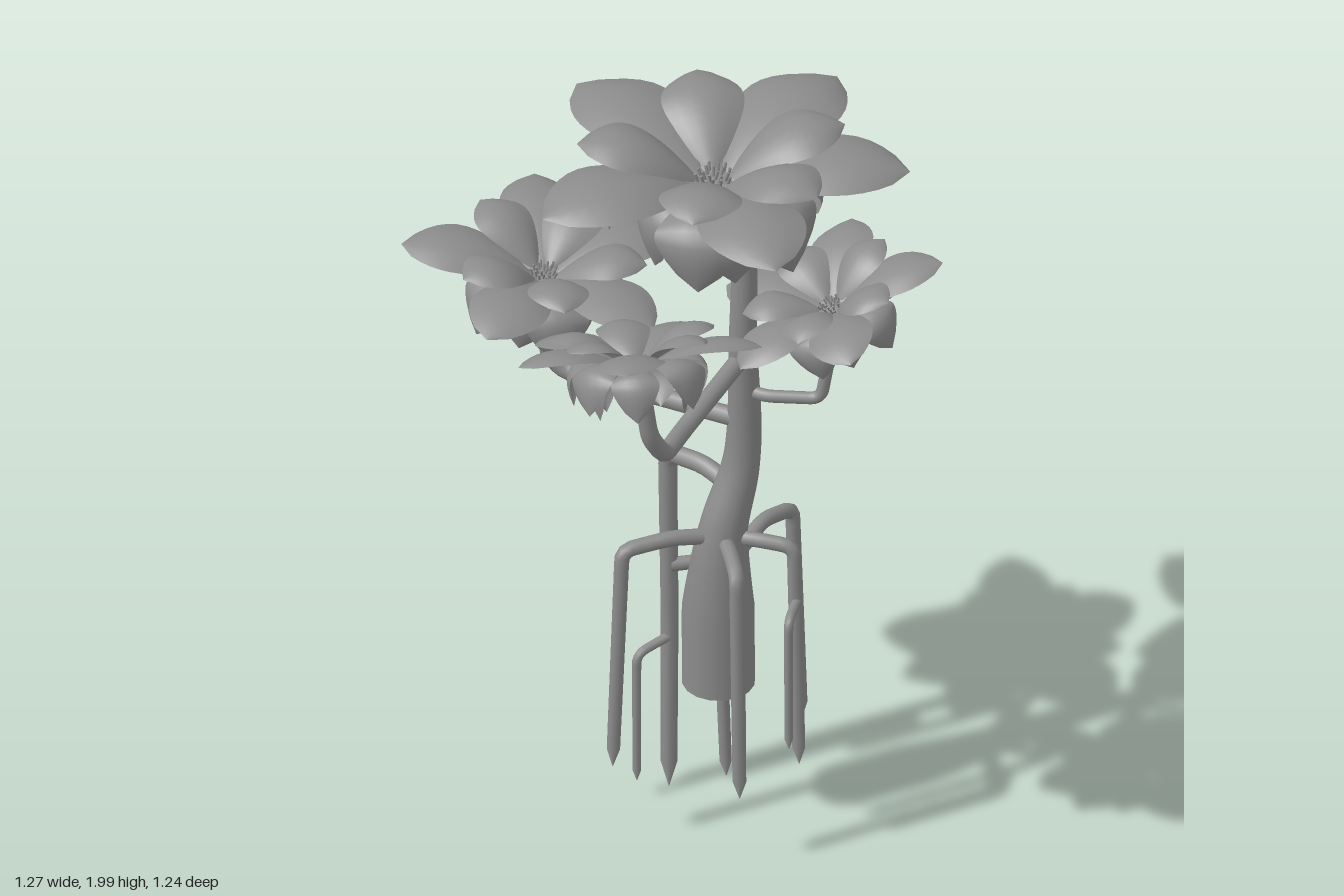
import * as THREE from 'three';

const solid = new THREE.MeshStandardMaterial({ color: 0x8c8c8c });
const thin = new THREE.MeshStandardMaterial({ color: 0x8c8c8c, side: THREE.DoubleSide });
const vec = (p) => new THREE.Vector3(...p);

// Straight runs joined by rounded corners
function bentPath(points, bend) {
  const path = new THREE.CurvePath();
  const pts = points.map(vec);
  let start = pts[0];
  for (let i = 1; i < pts.length - 1; i++) {
    const c = pts[i];
    const cut = (to) => c.clone().add(to.clone().sub(c).setLength(Math.min(bend, c.distanceTo(to) * 0.45)));
    const a = cut(pts[i - 1]);
    const b = cut(pts[i + 1]);
    path.add(new THREE.LineCurve3(start, a));
    path.add(new THREE.QuadraticBezierCurve3(a, c, b));
    start = b;
  }
  path.add(new THREE.LineCurve3(start, pts[pts.length - 1]));
  return path;
}

// Tube whose radius follows [fraction, radius] stops
function taperedTube(name, path, stops, segments = 50, sides = 10) {
  const geo = new THREE.TubeGeometry(path, segments, 1, sides);
  const pos = geo.attributes.position;
  const v = new THREE.Vector3();
  for (let i = 0; i <= segments; i++) {
    const t = i / segments;
    const centre = path.getPointAt(t);
    let k = 1;
    while (k < stops.length - 1 && stops[k][0] < t) k++;
    const [t0, r0] = stops[k - 1];
    const [t1, r1] = stops[k];
    const r = THREE.MathUtils.mapLinear(t, t0, t1, r0, r1);
    for (let j = 0; j <= sides; j++) {
      const n = i * (sides + 1) + j;
      v.fromBufferAttribute(pos, n).sub(centre).multiplyScalar(r).add(centre);
      pos.setXYZ(n, v.x, v.y, v.z);
    }
  }
  const mesh = new THREE.Mesh(geo, thin);
  mesh.name = name;
  return mesh;
}

// Domed petal swept along a curve in the xy plane, pointing to +x
function petalGeometry([base, control, tip], width, dome) {
  const curve = new THREE.QuadraticBezierCurve(
    new THREE.Vector2(...base), new THREE.Vector2(...control), new THREE.Vector2(...tip));
  const geo = new THREE.PlaneGeometry(1, 1, 12, 6);
  const pos = geo.attributes.position;
  for (let i = 0; i < pos.count; i++) {
    const u = pos.getX(i) + 0.5;
    const s = pos.getY(i) * 2;
    const p = curve.getPoint(u);
    const d = curve.getTangent(u);
    const half = width / 2 * (0.12 * (1 - u) + Math.pow(Math.max(0, Math.sin(Math.PI * Math.pow(u, 1.25))), 0.62));
    const drop = dome * half * s * s;
    pos.setXYZ(i, p.x + d.y * drop, p.y - d.x * drop, -s * half);
  }
  geo.computeVertexNormals();
  return geo;
}

// Petal rings; each follows the inner or the outer set of directions
const rings = [
  { name: 'upperPetal', geo: petalGeometry([[0.04, 0.01], [0.2, 0.19], [0.335, 0.105]], 0.195, 0.3), inner: true },
  { name: 'spreadingPetal', geo: petalGeometry([[0.04, 0], [0.28, 0.165], [0.48, 0.055]], 0.25, 0.25), inner: false },
  { name: 'droopingPetal', geo: petalGeometry([[0.03, 0.01], [0.34, 0.11], [0.255, -0.15]], 0.215, 0.3), inner: true },
  { name: 'hangingPetal', geo: petalGeometry([[0.02, 0], [0.27, 0.05], [0.165, -0.19]], 0.175, 0.3), inner: false },
];
const stamenGeo = new THREE.CylinderGeometry(0.004, 0.004, 0.035, 5).translate(0, 0.017, 0);

function flower(name, position, scale, outer, inner, tiltX, tiltZ) {
  const group = new THREE.Group();
  group.name = name;
  for (const ring of rings) {
    for (const angle of ring.inner ? inner : outer) {
      const petal = new THREE.Mesh(ring.geo, thin);
      petal.name = ring.name;
      petal.rotation.y = THREE.MathUtils.degToRad(angle);
      group.add(petal);
    }
  }
  // Stamens and the cup that holds them
  for (let i = 0; i < 20; i++) {
    const stamen = new THREE.Mesh(stamenGeo, solid);
    const r = 0.009 * Math.sqrt(i);
    stamen.name = 'stamen';
    stamen.position.set(r * Math.cos(i * 2.4), 0, r * Math.sin(i * 2.4));
    stamen.rotation.set(Math.sin(i * 2.4) * 0.3, 0, -Math.cos(i * 2.4) * 0.3);
    group.add(stamen);
  }
  const cup = new THREE.Mesh(new THREE.CylinderGeometry(0.045, 0.03, 0.06, 10), solid);
  cup.name = 'flowerCup';
  cup.position.y = -0.02;
  group.add(cup);
  group.position.set(...position);
  group.rotation.set(tiltX, 0, tiltZ);
  group.scale.setScalar(scale);
  return group;
}

export function createModel() {
  const model = new THREE.Group();
  model.name = 'floweringTree';

  // Trunk with a swollen, open foot
  const trunkPath = new THREE.CatmullRomCurve3([
    [0.09, 0.43, -0.01], [0.09, 0.7, -0.01], [0.105, 0.88, -0.02], [0.153, 1.06, -0.045],
    [0.155, 1.4, -0.04], [0.15, 1.72, -0.05], [0.09, 1.87, -0.065],
  ].map(vec), false, 'centripetal');
  model.add(taperedTube('trunk', trunkPath,
    [[0, 0.09], [0.15, 0.09], [0.31, 0.06], [0.44, 0.046], [0.67, 0.035], [1, 0.03]], 60, 16));

  // Stilt roots: radius, then the path down to a pointed tip
  const roots = [
    [0.024, [0.13, 0.98, -0.04], [0.07, 1.0, -0.12], [-0.005, 0.99, -0.2], [0, 0.5, -0.2], [-0.005, 0.01, -0.18]],
    [0.018, [0, 0.66, -0.19], [0.12, 0.66, -0.195], [0.13, 0.3, -0.2], [0.14, 0.01, -0.2]],
    [0.012, [0, 0.45, -0.19], [-0.09, 0.43, -0.15], [-0.09, 0.06, -0.145]],
    [0.02, [0.09, 0.86, -0.01], [-0.03, 0.88, 0.01], [-0.155, 0.87, 0.03], [-0.18, 0.24, 0.04]],
    [0.02, [0.1, 0.86, -0.01], [0.105, 0.865, 0.09], [0.105, 0.86, 0.175], [0.11, 0.21, 0.185]],
    [0.019, [0.1, 0.86, -0.01], [0.18, 0.865, 0.03], [0.265, 0.855, 0.06], [0.275, 0.22, 0.075]],
    [0.012, [0.27, 0.7, 0.07], [0.235, 0.705, 0.16], [0.235, 0.33, 0.165]],
    [0.02, [0.12, 0.78, -0.01], [0.22, 0.81, -0.13], [0.305, 0.78, -0.21], [0.33, 0.14, -0.225]],
  ];
  for (const [r, ...points] of roots) {
    model.add(taperedTube('stiltRoot', bentPath(points, 0.03), [[0, r], [0.94, r * 0.85], [1, 0.001]]));
  }

  // Branches, each ending beneath a flower
  const branches = [
    [0.024, [0.15, 1.18, -0.04], [-0.25, 1.2, -0.29], [-0.285, 1.25, -0.305], [-0.285, 1.38, -0.29], [-0.3, 1.5, -0.265]],
    [0.024, [0.15, 1.36, -0.04], [-0.03, 1.335, 0.2], [-0.1, 1.355, 0.33], [-0.14, 1.43, 0.355], [-0.17, 1.65, 0.36]],
    [0.016, [0.16, 1.27, -0.04], [0.2, 1.27, 0.0], [0.335, 1.275, 0.04], [0.355, 1.4, 0.045], [0.36, 1.54, 0.04]],
  ];
  for (const [r, ...points] of branches) {
    model.add(taperedTube('branch', bentPath(points, 0.028), [[0, r], [1, r * 0.95]]));
  }

  // Flowers: directions of the outer and inner petals in degrees, then tilt
  model.add(flower('topFlower', [0.088, 1.87, -0.068], 1,
    [42, 125, 200, 279, 347], [8, 88, 168, 252, 310], 0, 0));
  model.add(flower('rightFlower', [-0.3, 1.5, -0.265], 0.74,
    [21, 85, 165, 237, 309], [56, 122, 205, 271, 344], 0.06, -0.08));
  model.add(flower('frontFlower', [-0.17, 1.65, 0.36], 0.65,
    [55, 133, 193, 257, 342], [20, 95, 160, 213, 313], -0.42, 0));
  model.add(flower('leftFlower', [0.36, 1.54, 0.04], 0.62,
    [68, 140, 212, 272, 355], [31, 104, 176, 242, 314], 0, 0.31));
  return model;
}
